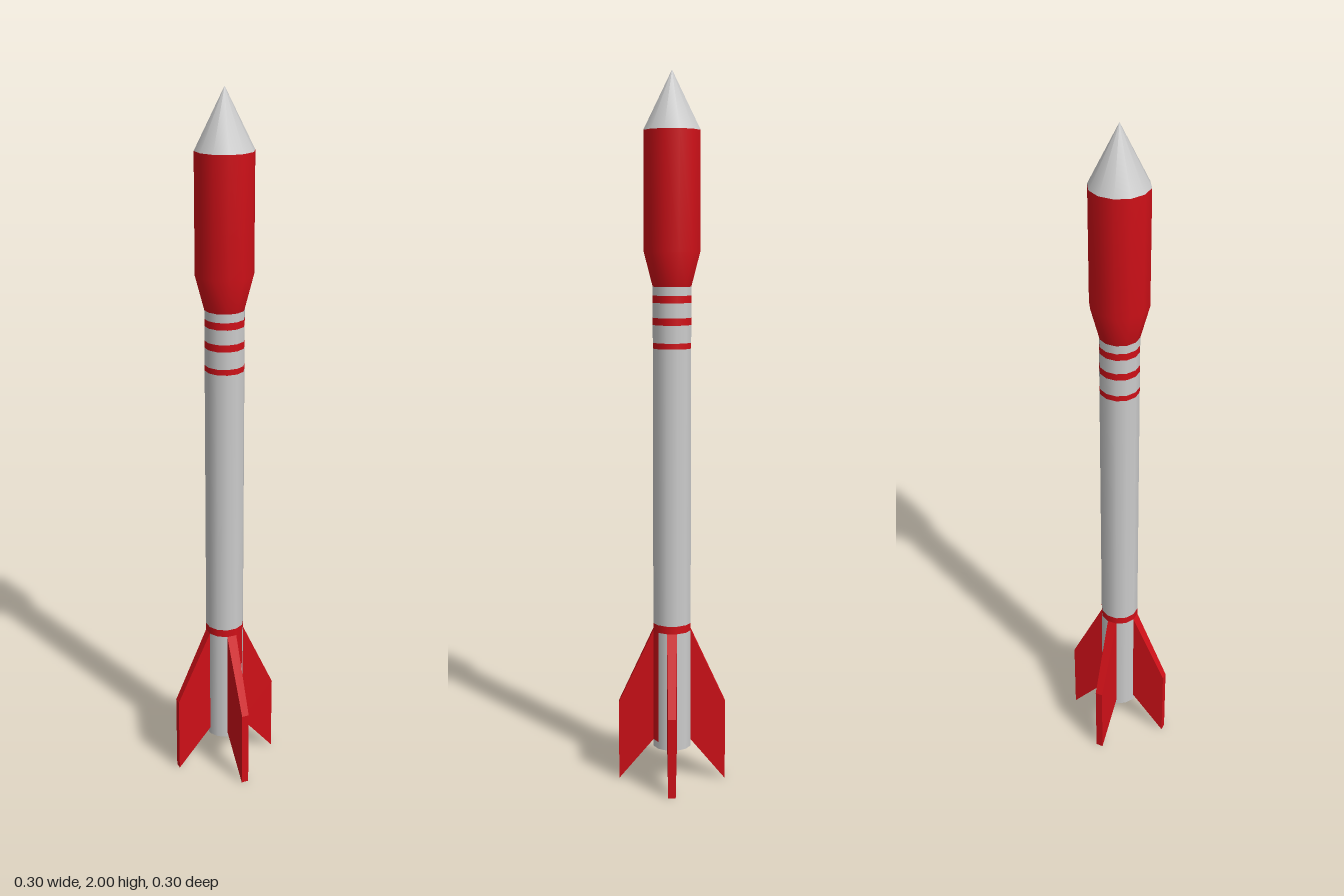
import * as THREE from 'three';

const SIDES = 12;
const R = 0.055;       // body radius
const HEAD_R = 0.08;   // head radius
const STEP = (Math.PI * 2) / SIDES;

export function createModel() {
  const rocket = new THREE.Group();
  rocket.name = 'rocket';
  const grey = new THREE.MeshStandardMaterial({ color: 0xcccccc });
  const red = new THREE.MeshStandardMaterial({ color: 0xd01018 });

  const add = (name, geometry, material) => {
    const mesh = new THREE.Mesh(geometry, material);
    mesh.name = name;
    rocket.add(mesh);
    return mesh;
  };

  // One open band of the body, optionally only some of its panels
  const band = (name, y0, y1, material, first = 0, count = SIDES) => {
    const g = new THREE.CylinderGeometry(R, R, y1 - y0, count, 1, true, first * STEP, count * STEP);
    add(name, g.translate(0, (y0 + y1) / 2, 0), material);
  };

  // Lower body between the fins, with a single painted panel
  band('tailEnd', 0.1, 0.12, grey);
  band('lowerBody', 0.12, 0.445, grey, 4, 11);
  band('paintedPanel', 0.12, 0.445, red, 3, 1);
  const base = new THREE.CircleGeometry(R, SIDES).rotateX(Math.PI / 2);
  add('tailCap', base.translate(0, 0.1, 0), grey);

  // Main tube with alternating grey and red bands
  const levels = [0.445, 0.467, 1.25, 1.266, 1.315, 1.335, 1.376, 1.396, 1.42];
  for (let i = 0; i < levels.length - 1; i++) {
    const isStripe = i % 2 === 0;
    band((isStripe ? 'stripe' : 'bodyTube') + i, levels[i], levels[i + 1], isStripe ? red : grey);
  }

  // Wider head with a tapered lower end
  const headProfile = [[R, 1.42], [HEAD_R, 1.515], [HEAD_R, 1.84]].map(([x, y]) => new THREE.Vector2(x, y));
  add('head', new THREE.LatheGeometry(headProfile, SIDES), red);

  // Pointed nose
  const nose = new THREE.ConeGeometry(HEAD_R, 0.16, SIDES, 1, true);
  add('noseCone', nose.translate(0, 1.92, 0), grey);

  // Swept fins, each growing out of one flat panel and thinning outwards
  const inner = R * Math.cos(STEP / 2);
  const outer = 0.153;
  const outline = new THREE.Shape([
    new THREE.Vector2(inner, 0.12),
    new THREE.Vector2(outer, 0),
    new THREE.Vector2(outer, 0.23),
    new THREE.Vector2(inner, 0.445),
  ]);
  const finGeometry = new THREE.ExtrudeGeometry(outline, { depth: 1, bevelEnabled: false });
  const p = finGeometry.attributes.position;
  for (let i = 0; i < p.count; i++) {
    const t = (p.getX(i) - inner) / (outer - inner);
    p.setZ(i, (p.getZ(i) - 0.5) * THREE.MathUtils.lerp(0.0285, 0.021, t));
  }
  finGeometry.computeVertexNormals();
  for (let i = 0; i < 4; i++) {
    add('fin' + (i + 1), finGeometry, red).rotation.y = -STEP / 2 - (i * Math.PI) / 2;
  }

  return rocket;
}
